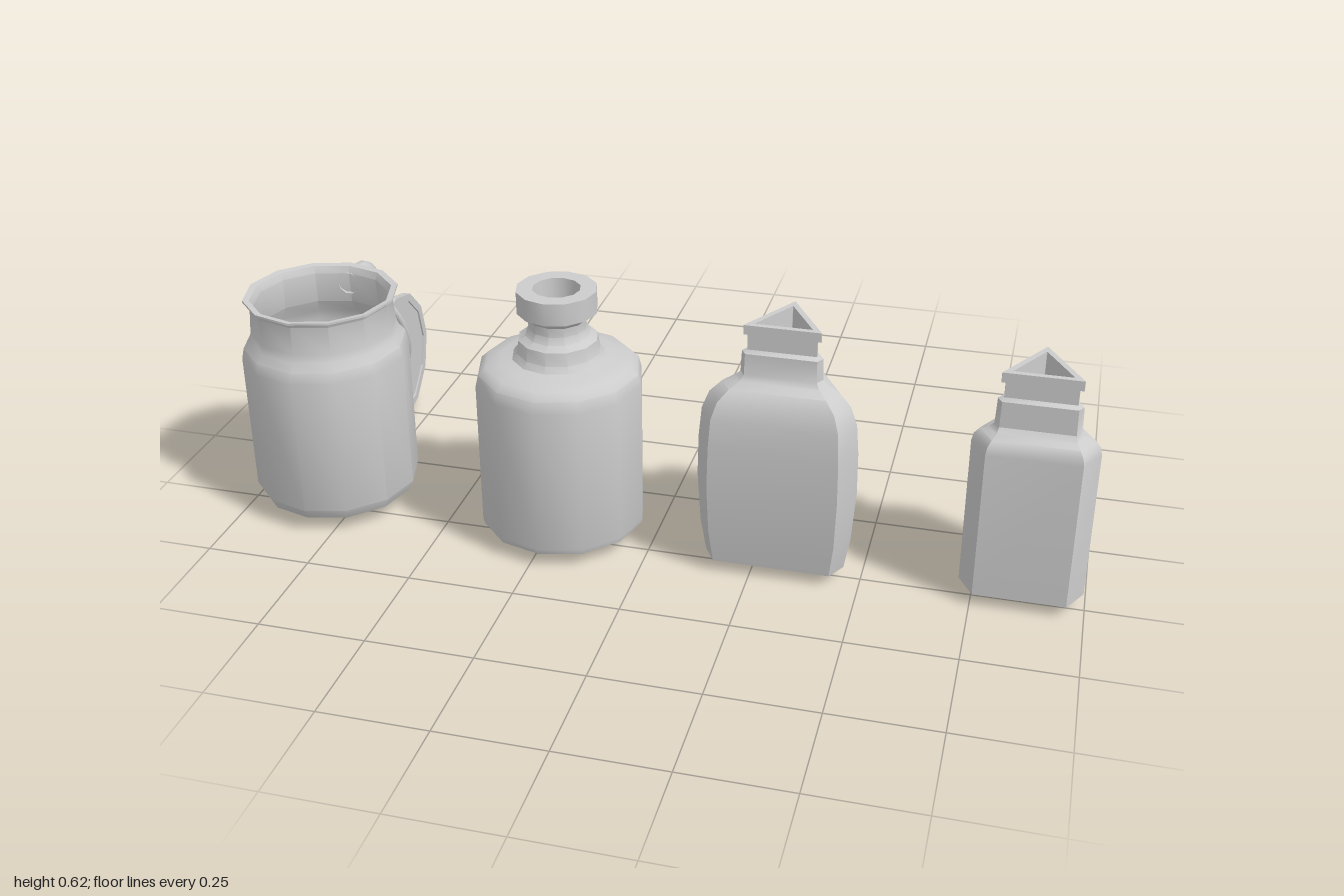
import * as THREE from 'three';
import { toCreasedNormals } from 'three/addons/utils/BufferGeometryUtils.js';

const material = new THREE.MeshStandardMaterial({ color: 0xcccccc, side: THREE.DoubleSide });
const CREASE = 0.62; // keeps the 30 degree facets of the round vessels smooth
const Z = 0.19;      // the vessels stand in one row

function add(parent, name, geometry, x = 0, y = 0, z = 0) {
  const mesh = new THREE.Mesh(geometry, material);
  mesh.name = name;
  mesh.position.set(x, y, z);
  parent.add(mesh);
  return mesh;
}

// Twelve-sided turned vessel from [radius, height] pairs
function turned(profile) {
  const points = profile.map(([r, y]) => new THREE.Vector2(r, y));
  return toCreasedNormals(new THREE.LatheGeometry(points, 12), CREASE);
}

// Triangle with cut corners: a = centre to side, b = centre to cut corner (2a is a sharp corner)
function cutTriangle(a, b) {
  const half = (Math.min(b, a * 1.98) - a / 2) / Math.cos(Math.PI / 6);
  const corners = [];
  for (let i = 0; i < 3; i++) {
    const turn = (i * 2 * Math.PI) / 3;
    for (const s of [-half, half]) {
      corners.push([
        s * Math.cos(turn) + a * Math.sin(turn),
        a * Math.cos(turn) - s * Math.sin(turn),
      ]);
    }
  }
  return corners;
}

// Skin over cut-triangle sections [a, b, y], closed at both ends
function lofted(sections) {
  const position = [], index = [];
  for (const [a, b, y] of sections) {
    for (const [x, z] of cutTriangle(a, b)) position.push(x, y, z);
  }
  const last = (sections.length - 1) * 6;
  for (let row = 0; row < last; row += 6) {
    for (let i = 0; i < 6; i++) {
      const p = row + i, q = row + (i + 1) % 6;
      index.push(p, q, q + 6, p, q + 6, p + 6);
    }
  }
  for (let i = 1; i < 5; i++) {
    index.push(0, i + 1, i, last, last + i, last + i + 1);
  }
  const geometry = new THREE.BufferGeometry();
  geometry.setAttribute('position', new THREE.Float32BufferAttribute(position, 3));
  geometry.setIndex(index);
  return toCreasedNormals(geometry, CREASE);
}

// Collar, thin neck and flat lip with a triangular mouth
function bottleTop(collarBase, collarTop, lipBase, lipTop) {
  return [
    [0.06, 0.1, collarBase], [0.058, 0.098, collarTop],
    [0.045, 0.09, collarTop + 0.005], [0.045, 0.09, lipBase],
    [0.05, 0.1, lipBase], [0.05, 0.1, lipTop],
    [0.037, 0.074, lipTop], [0.035, 0.07, collarBase + 0.02],
  ];
}

function circle(PathType, radius, sides, x = 0, y = 0) {
  const points = [];
  for (let i = 0; i < sides; i++) {
    const t = (i * 2 * Math.PI) / sides;
    points.push(new THREE.Vector2(x + radius * Math.cos(t), y + radius * Math.sin(t)));
  }
  return new PathType(points);
}

// Flat disc in the yz plane with one hole
function pierced(radius, hole, depth) {
  const shape = circle(THREE.Shape, radius, 12);
  shape.holes.push(hole);
  return new THREE.ExtrudeGeometry(shape, { depth, bevelEnabled: false })
    .translate(0, 0, -depth / 2)
    .rotateY(Math.PI / 2);
}

export function createModel() {
  const model = new THREE.Group();
  model.name = 'bottleSet';

  // Open jar with flared rim and hollow inside
  const jar = new THREE.Group();
  jar.name = 'jar';
  jar.position.x = -0.805;
  model.add(jar);
  add(jar, 'jarBody', turned([
    [0, 0.037], [0.125, 0.037], [0.135, 0.03], [0.162, 0.03], [0.182, 0.04], [0.195, 0.066],
    [0.195, 0.4], [0.189, 0.427], [0.174, 0.446], [0.169, 0.465], [0.164, 0.53],
    [0.168, 0.538], [0.179, 0.543], [0.179, 0.548], [0.164, 0.546], [0.156, 0.53],
    [0.16, 0.455], [0.18, 0.42], [0.186, 0.395], [0.186, 0.07], [0.16, 0.045], [0, 0.045],
  ]), 0, 0, Z);

  // Hoop handle on the back of the jar
  const hoop = new THREE.CatmullRomCurve3([
    [0.506, 0.04], [0.504, -0.01], [0.502, -0.045], [0.488, -0.066],
    [0.462, -0.075], [0.434, -0.063], [0.418, -0.035], [0.416, 0.01],
  ].map(([y, z]) => new THREE.Vector3(0, y, z)));
  add(jar, 'jarHandle', new THREE.TubeGeometry(hoop, 14, 0.027, 10));

  // Tilted oval wire ring joining handle and lid
  const ringPoints = [];
  for (let i = 0; i < 16; i++) {
    const t = (i * Math.PI) / 8;
    ringPoints.push(new THREE.Vector3(
      0.1 * Math.cos(t), 0.33 + 0.135 * Math.sin(t), -0.055 + 0.037 * Math.sin(t)));
  }
  const ring = new THREE.CatmullRomCurve3(ringPoints, true);
  add(jar, 'wireRing', new THREE.TubeGeometry(ring, 32, 0.008, 6, true));

  // Hanging lid: raised rim around a thin pierced plate
  const lid = new THREE.Group();
  lid.name = 'lid';
  lid.position.set(0, 0.18, -0.205);
  jar.add(lid);
  add(lid, 'lidRim', pierced(0.178, circle(THREE.Path, 0.158, 12), 0.02));
  add(lid, 'lidPlate', pierced(0.162, circle(THREE.Path, 0.02, 12, -0.115, 0.022), 0.011));

  // Round bottle with a waisted neck and thick mouth
  add(model, 'roundBottle', turned([
    [0, 0.03], [0.18, 0.03], [0.191, 0.036], [0.195, 0.05], [0.195, 0.4], [0.188, 0.428],
    [0.17, 0.445], [0.135, 0.452], [0.108, 0.458], [0.097, 0.472], [0.092, 0.503],
    [0.075, 0.513], [0.067, 0.53], [0.068, 0.552], [0.08, 0.566], [0.093, 0.57],
    [0.093, 0.623], [0.055, 0.623], [0.05, 0.56], [0.05, 0.48], [0, 0.48],
  ]), -0.225, 0, Z);

  // Tall three-sided bottle with bulging sides
  add(model, 'bulgingBottle', lofted([
    [0.108, 0.17, 0.03], [0.118, 0.183, 0.11], [0.125, 0.19, 0.23], [0.124, 0.188, 0.33],
    [0.119, 0.182, 0.4], [0.108, 0.166, 0.44], [0.09, 0.138, 0.465], [0.068, 0.11, 0.478],
    ...bottleTop(0.49, 0.54, 0.583, 0.605),
  ]), 0.3, 0, Z);

  // Small straight three-sided bottle
  add(model, 'straightBottle', lofted([
    [0.1, 0.139, 0.03], [0.1, 0.139, 0.385], [0.097, 0.135, 0.403],
    [0.088, 0.124, 0.416], [0.07, 0.108, 0.424],
    ...bottleTop(0.435, 0.495, 0.537, 0.56),
  ]), 0.857, 0, Z);

  return model;
}
